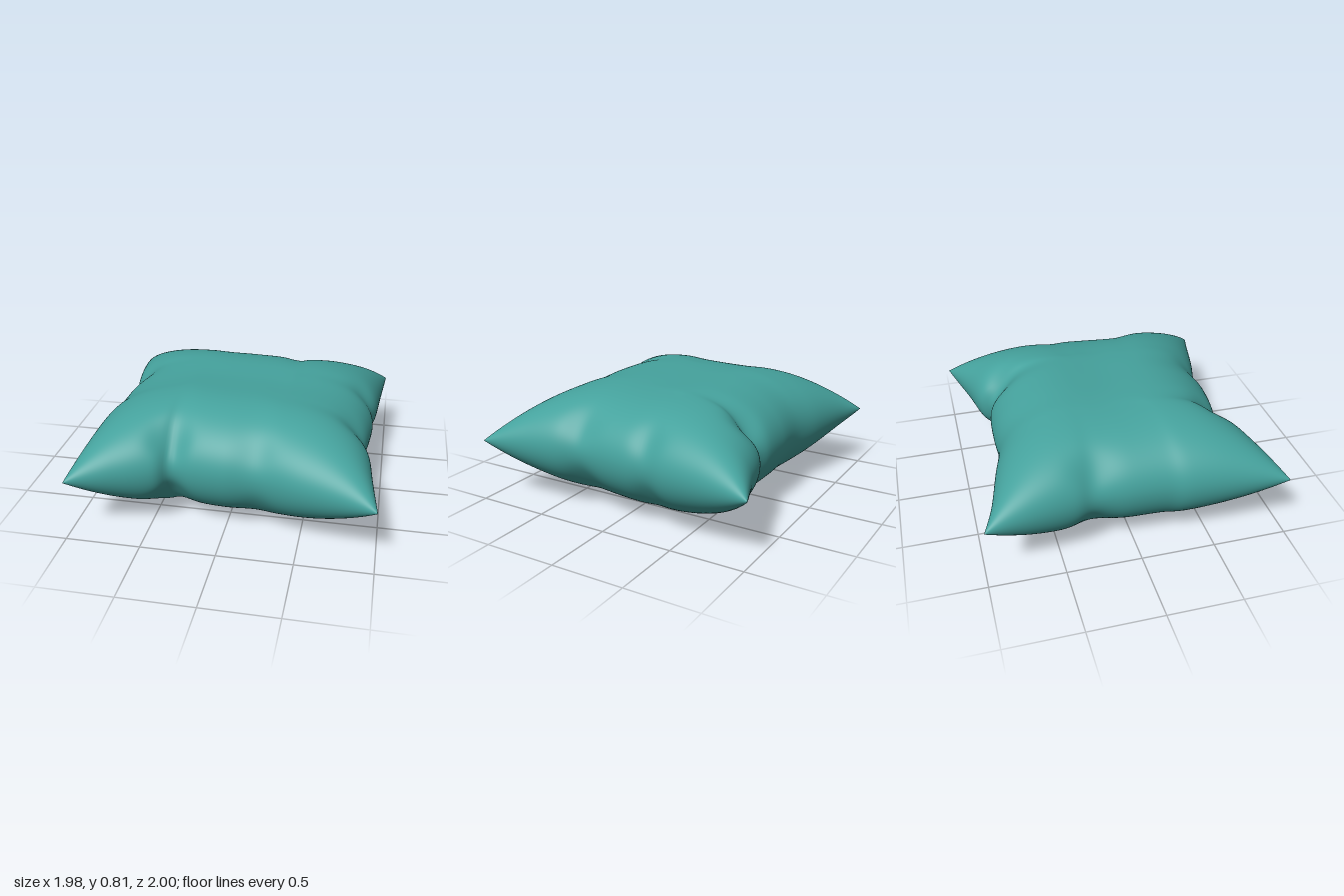
import * as THREE from 'three';
import { mergeVertices, mergeGeometries } from 'three/addons/utils/BufferGeometryUtils.js';

const SEAM_Y = 0.43;
const N = 120;

// Seam outline seen from above, as [x, z] points; each side has its gathered folds
const edge = (pts) => {
  const curve = new THREE.SplineCurve(pts.map(([x, z]) => new THREE.Vector2(x, z)));
  curve.arcLengthDivisions = 600;
  return curve;
};
const back = edge([[-0.99, -0.99], [-0.8, -0.92], [-0.5, -0.85], [-0.25, -0.79], [0, -0.79],
  [0.2, -0.78], [0.35, -0.74], [0.45, -0.83], [0.7, -0.9], [0.98, -1]]);
const front = edge([[-0.98, 1], [-0.7, 0.91], [-0.45, 0.82], [-0.35, 0.735], [-0.2, 0.77],
  [0, 0.79], [0.22, 0.785], [0.5, 0.86], [0.8, 0.93], [0.99, 0.98]]);
const right = edge([[-0.99, -0.99], [-0.96, -0.7], [-0.92, -0.42], [-0.88, -0.27], [-0.9, -0.05],
  [-0.91, 0.2], [-0.94, 0.36], [-0.96, 0.7], [-0.98, 1]]);
const left = edge([[0.98, -1], [0.95, -0.65], [0.93, -0.4], [0.9, -0.25], [0.91, -0.1],
  [0.88, 0.2], [0.88, 0.3], [0.92, 0.45], [0.95, 0.7], [0.99, 0.98]]);

// Dents where the folds pull the cloth in: x, z, depth, radius
const dents = [[-0.36, 0.72, 0.3, 0.11], [0.36, -0.72, 0.3, 0.11], [-0.86, -0.28, 0.22, 0.12],
  [0.87, 0.27, 0.2, 0.12], [0.88, -0.25, 0.15, 0.1], [0.22, 0.77, 0.12, 0.1]];

// Point inside the outline, blended from its four sides (s, t run 0..1)
function spread(s, t, sides) {
  const [b, f, r, l] = sides;
  const mix = (k) => (1 - t) * b[k] + t * f[k] + (1 - s) * r[k] + s * l[k]
    - (1 - s) * (1 - t) * back.points[0][k] - s * (1 - t) * back.points.at(-1)[k]
    - (1 - s) * t * front.points[0][k] - s * t * front.points.at(-1)[k];
  return [mix('x'), mix('y')];
}

// Swelling of the filling: round along the sides, tapering to points at the corners
function swell(u, v, x, z, up) {
  const across = 1 - Math.abs(u) ** (up && u > 0 ? 3.8 : 3);
  const along = 1 - Math.abs(v) ** (up ? 3.3 : 3);
  const crown = up ? 0.375 - 0.022 * u + 0.008 * Math.cos(v * 6 + Math.PI) : 0.43;
  let h = crown * Math.sqrt(Math.max(0, across * along));
  for (const [dx, dz, depth, radius] of dents) {
    h *= 1 - depth * Math.exp(-((x - dx) ** 2 + (z - dz) ** 2) / (radius * radius));
  }
  return h;
}

// One cloth panel; up is the upper one, otherwise the lower one
function panel(up) {
  const geometry = new THREE.PlaneGeometry(2, 2, N, N);
  geometry.deleteAttribute('normal');
  geometry.deleteAttribute('uv');
  const ease = (i) => Math.sin((i / N - 0.5) * Math.PI); // finer rows near the seam
  const at = (curve) => Array.from({ length: N + 1 }, (_, i) => curve.getPointAt((ease(i) + 1) / 2));
  const [b, f, r, l] = [back, front, right, left].map(at);
  const pos = geometry.attributes.position;
  for (let j = 0; j <= N; j++) {
    for (let c = 0; c <= N; c++) {
      const i = up ? c : N - c; // mirrored order turns the lower panel's faces down
      const u = ease(i), v = ease(j);
      const [x, z] = spread((u + 1) / 2, (v + 1) / 2, [b[i], f[i], r[j], l[j]]);
      const rim = i === 0 || j === 0 || i === N || j === N;
      const h = rim ? 0 : swell(u, v, x, z, up);
      pos.setXYZ(j * (N + 1) + c, x, SEAM_Y + (up ? h : -h), z);
    }
  }
  return geometry;
}

export function createModel() {
  const teal = new THREE.MeshStandardMaterial({ color: 0x45a29d });
  teal.name = 'teal cloth';

  // Both panels are joined along the seam for smooth shading
  const geometry = mergeVertices(mergeGeometries([panel(true), panel(false)]), 1e-5);
  geometry.computeVertexNormals();
  const cushion = new THREE.Mesh(geometry, teal);
  cushion.name = 'cushion';

  const model = new THREE.Group();
  model.name = 'throw pillow';
  model.add(cushion);
  return model;
}
